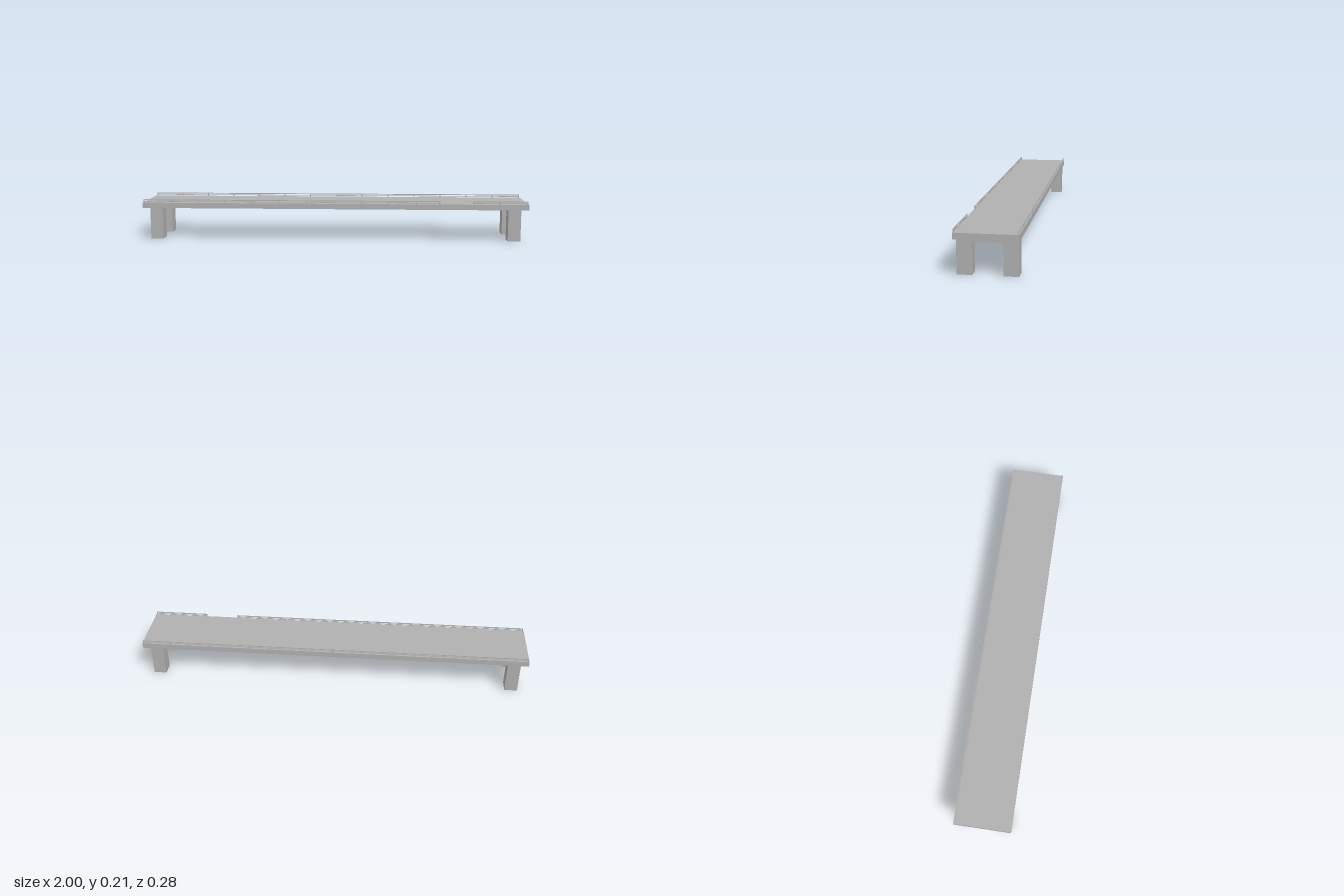
import * as THREE from 'three';

export function createModel() {
  const model = new THREE.Group();
  model.name = 'bridge';
  const concrete = new THREE.MeshStandardMaterial({ color: 0xb0b0b0 });
  concrete.name = 'concrete grey';

  // Box given by its minimum and maximum on each axis
  function box(name, x0, x1, y0, y1, z0, z1, parent = model) {
    const mesh = new THREE.Mesh(new THREE.BoxGeometry(x1 - x0, y1 - y0, z1 - z0), concrete);
    mesh.position.set((x0 + x1) / 2, (y0 + y1) / 2, (z0 + z1) / 2);
    mesh.name = name;
    parent.add(mesh);
  }

  const deckBottom = 0.163, deckTop = 0.191;
  box('deck', -1, 1, deckBottom, deckTop, -0.142, 0.142);

  // Portal support at each end: two piers joined by a cross beam
  for (const side of [-1, 1]) {
    const support = new THREE.Group();
    support.name = side > 0 ? 'leftSupport' : 'rightSupport';
    const x = side * 0.929, h = 0.0325;
    box('frontPier', x - h, x + h, 0, deckBottom, 0.067, 0.134, support);
    box('backPier', x - h, x + h, 0, deckBottom, -0.134, -0.067, support);
    box('crossBeam', x - h, x + h, 0.145, deckBottom, -0.067, 0.067, support);
    model.add(support);
  }

  // Railings: the front one has an opening near its left end
  const runs = {
    frontRailing: { z: 0.1375, spans: [[-0.995, 0.548], [0.714, 0.995]] },
    backRailing: { z: -0.1375, spans: [[-0.995, 0.995]] },
  };
  for (const [name, { z, spans }] of Object.entries(runs)) {
    const railing = new THREE.Group();
    railing.name = name;
    for (const [a, b] of spans) {
      box('topRail', a, b, 0.2035, 0.208, z - 0.002, z + 0.002, railing);
      box('lowerRail', a, b, 0.196, 0.199, z - 0.0015, z + 0.0015, railing);
      // Evenly spaced posts that fall within this span
      for (let i = 0; i <= 14; i++) {
        const x = -0.993 + i * 0.14186;
        if (x < a || x > b) continue;
        box('post', x - 0.002, x + 0.002, deckTop, 0.2035, z - 0.002, z + 0.002, railing);
      }
      // Post closing the span beside the opening
      if (b < 0.9) box('endPost', b - 0.004, b, deckTop, 0.2035, z - 0.002, z + 0.002, railing);
      if (a > 0) box('endPost', a, a + 0.004, deckTop, 0.2035, z - 0.002, z + 0.002, railing);
    }
    model.add(railing);
  }
  return model;
}
